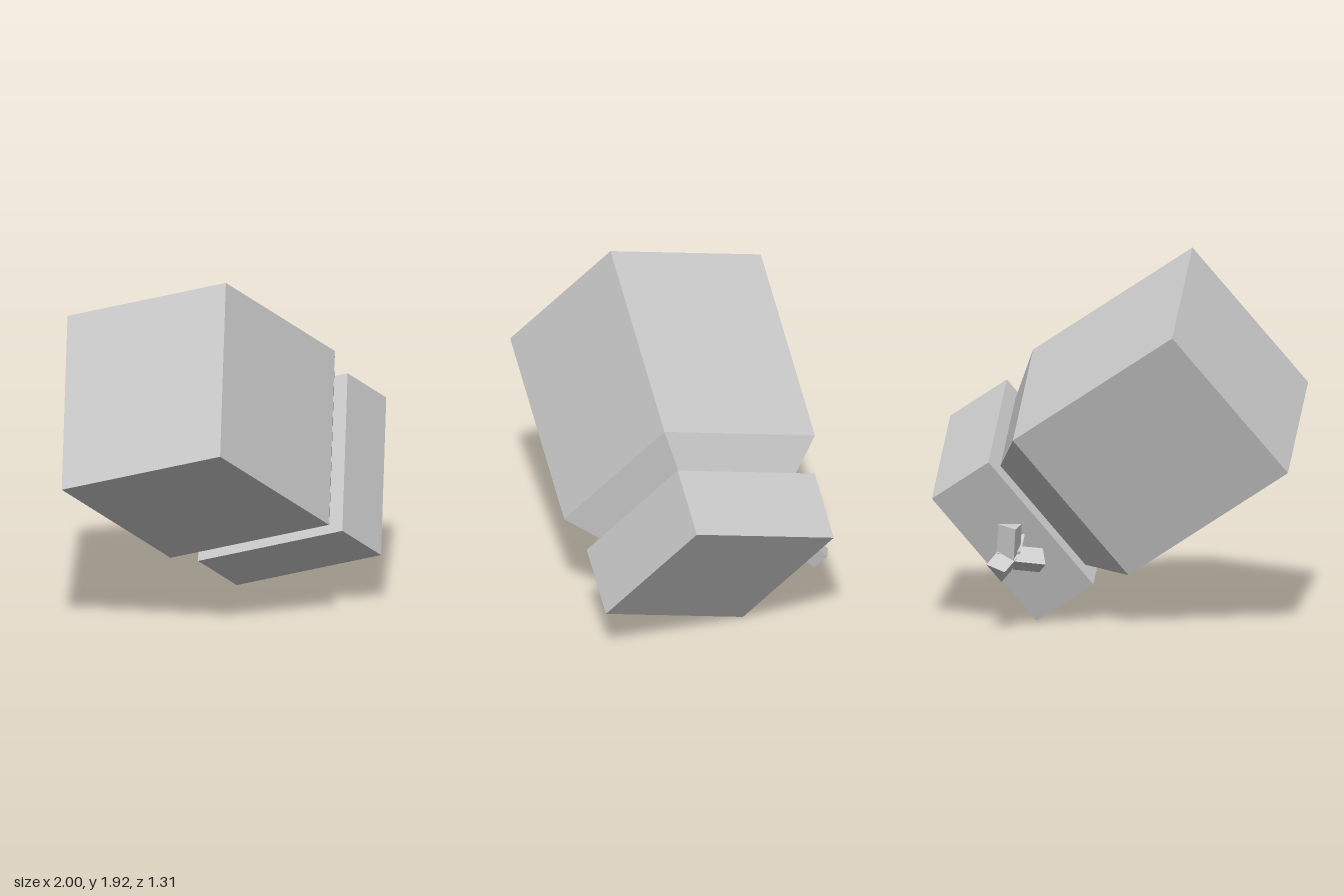
import * as THREE from 'three';

const V = (x, y, z) => new THREE.Vector3(x, y, z);
const material = new THREE.MeshStandardMaterial({ color: 0xcccccc, flatShading: true });

function add(parent, name, geometry, position) {
  const mesh = new THREE.Mesh(geometry, material);
  mesh.name = name;
  if (position) mesh.position.copy(position);
  parent.add(mesh);
  return mesh;
}

// Triangular bar between two points, one of its edges turned towards "edge"
function triangularBar(parent, name, from, to, edge, radius) {
  const y = to.clone().sub(from);
  const length = y.length();
  y.normalize();
  const z = edge.clone().addScaledVector(y, -edge.dot(y)).normalize();
  const x = y.clone().cross(z);
  const geometry = new THREE.CylinderGeometry(radius, radius, length, 3);
  const matrix = new THREE.Matrix4().makeBasis(x, y, z);
  matrix.setPosition(from.clone().add(to).multiplyScalar(0.5));
  geometry.applyMatrix4(matrix);
  add(parent, name, geometry);
}

export function createModel() {
  const root = new THREE.Group();
  root.name = 'model';

  // Tilted frame: local x runs from the large block to the small one
  const body = new THREE.Group();
  body.name = 'tiltedBody';
  const x = V(0.829, -0.559, 0.047).normalize();
  const y = V(0.536, 0.763, -0.361);
  y.addScaledVector(x, -y.dot(x)).normalize();
  const z = x.clone().cross(y);
  body.quaternion.setFromRotationMatrix(new THREE.Matrix4().makeBasis(x, y, z));
  body.position.set(-0.2225, 1.0975, 0.0025);
  root.add(body);

  // Large block, tapered neck and small block
  add(body, 'largeBlock', new THREE.BoxGeometry(1.056, 0.97, 0.968));
  const neck = new THREE.CylinderGeometry(0.356 * Math.SQRT2, 0.485 * Math.SQRT2, 0.202, 4);
  neck.rotateY(Math.PI / 4);
  neck.rotateZ(-Math.PI / 2);
  add(body, 'taperedNeck', neck, V(0.629, 0, 0));
  add(body, 'smallBlock', new THREE.BoxGeometry(0.375, 0.879, 0.882), V(0.917, 0.002, -0.004));

  // Knob on the back of the small block: a stem with three arms
  const knob = new THREE.Group();
  knob.name = 'knob';
  body.add(knob);
  const hub = V(0.91, 0, -0.63);
  const r = 0.073;
  triangularBar(knob, 'stem', V(0.91, 0, -0.43), hub, V(-1, 0, 0), r);
  triangularBar(knob, 'outerArm', hub, V(0.982, 0, -0.71), V(-0.4, 0, -1), r);
  for (const s of [1, -1]) {
    triangularBar(knob, s > 0 ? 'upperArm' : 'lowerArm', hub,
      V(0.802, 0.129 * s, -0.585), V(-0.4, -0.517 * s, 0.758), r);
  }

  return root;
}
